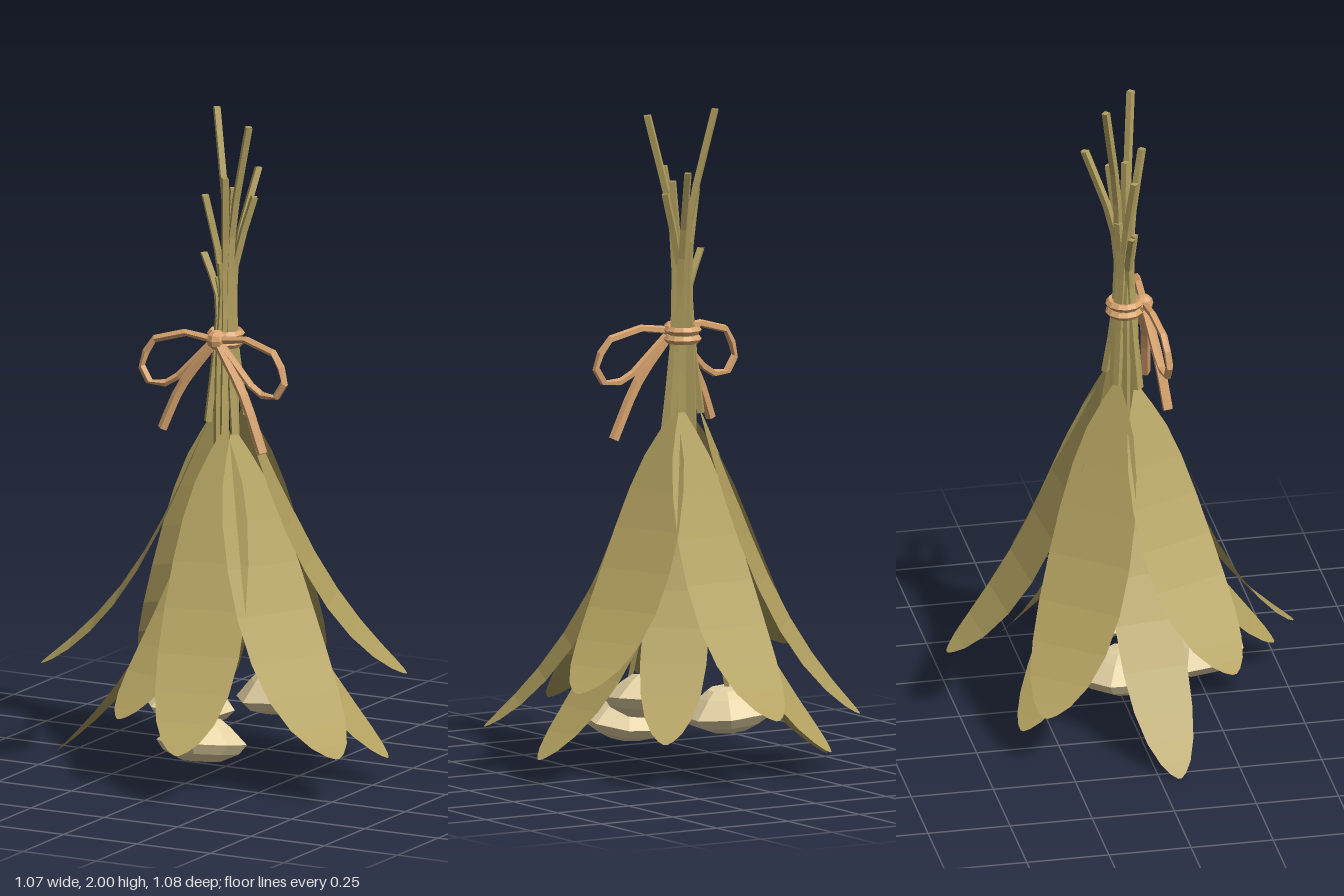
import * as THREE from 'three';

const mat = (name, color, extra = {}) => {
  const m = new THREE.MeshStandardMaterial({ color, flatShading: true, ...extra });
  m.name = name;
  return m;
};
const V = (x, y, z) => new THREE.Vector3(x, y, z);

// Half-width of a leaf along its length: narrow base, broad middle, blunt tip
const OUTLINE = [[0, 0.1], [0.06, 0.32], [0.14, 0.58], [0.25, 0.79], [0.38, 0.93], [0.52, 1],
  [0.66, 1], [0.78, 0.91], [0.88, 0.72], [0.95, 0.46], [0.985, 0.23], [1, 0.06]];

// Spine controls as [outward, drop] fractions from base to tip
const UPPER_BEND = [[0.25, 0.38], [0.45, 0.775]];
const LOWER_BEND = [[0.19, 0.43], [0.52, 0.76]];

// Flat leaf drooping from base to tip along a curved spine
function leafGeometry(base, tip, halfWidth, bend) {
  const [c1, c2] = bend.map(([out, drop]) => V(
    THREE.MathUtils.lerp(base.x, tip.x, out),
    THREE.MathUtils.lerp(base.y, tip.y, drop),
    THREE.MathUtils.lerp(base.z, tip.z, out)));
  const spine = new THREE.CubicBezierCurve3(base, c1, c2, tip);
  const side = V(tip.z - base.z, 0, base.x - tip.x).normalize();
  const pos = [], idx = [];
  OUTLINE.forEach(([t, w], i) => {
    const p = spine.getPointAt(t);
    for (const s of [-1, 1]) {
      const q = p.clone().addScaledVector(side, s * w * halfWidth);
      pos.push(q.x, q.y, q.z);
    }
    if (i) {
      const a = 2 * i - 2;
      idx.push(a, a + 2, a + 1, a + 1, a + 2, a + 3);
    }
  });
  const g = new THREE.BufferGeometry();
  g.setAttribute('position', new THREE.Float32BufferAttribute(pos, 3));
  g.setIndex(idx);
  g.computeVertexNormals();
  return g;
}

export function createModel() {
  const group = new THREE.Group();
  const leafMat = mat('dried leaf', 0xb3a160, { side: THREE.DoubleSide });
  const twineMat = mat('twine', 0xdba670);
  const flowerMat = mat('dried flower', 0xecd9aa);

  const add = (name, geometry, material) => {
    const m = new THREE.Mesh(geometry, material);
    m.name = name;
    group.add(m);
    return m;
  };
  const tube = (name, pts, r, material, segs = 8, sides = 4) =>
    add(name, new THREE.TubeGeometry(new THREE.CatmullRomCurve3(pts), segs, r, sides), material);

  // Each sprig: leaf base, leaf tip, half width, cut end of its stem
  const upper = [
    [[0.035, 1.09, -0.05], [0, 0.22, -0.54], 0.12, [-0.07, 2, -0.07]],
    [[-0.045, 1.08, -0.03], [-0.42, 0.18, -0.325], 0.134, [-0.06, 1.75, 0.02]],
    [[0.05, 1.08, -0.03], [0.5, 0.3, -0.21], 0.126, [0.05, 1.82, -0.11]],
    [[0.045, 1.03, 0.03], [0.53, 0.14, 0.27], 0.138, [0.1, 1.98, 0.04]],
    [[0.02, 1.03, 0.05], [0.13, 0.16, 0.54], 0.126, [0.03, 1.82, 0.06]],
    [[-0.045, 1.06, 0.03], [-0.5, 0.31, 0.235], 0.124, [-0.07, 1.57, 0.01]],
  ];
  const lower = [
    [[-0.03, 0.86, 0], [-0.54, 0, 0.06], 0.1, [-0.02, 1.5, 0.01]],
    [[-0.02, 0.86, -0.03], [-0.29, 0.08, -0.37], 0.1, [-0.01, 1.6, -0.02]],
    [[0.02, 0.86, -0.03], [0.26, 0.14, -0.32], 0.1, [0.08, 1.75, -0.03]],
    [[0.035, 0.86, 0], [0.53, 0.08, -0.04], 0.098, [0.03, 1.78, 0.01]],
    [[-0.01, 0.86, 0.035], [-0.13, 0.22, 0.43], 0.1, [0, 1.55, 0.03]],
  ];
  const sprig = ([baseXYZ, tipXYZ, halfWidth, end], bend) => {
    const base = V(...baseXYZ), tip = V(...tipXYZ);
    add('leaf', leafGeometry(base, tip, halfWidth, bend), leafMat);
    // Stem runs from the leaf through the tie and fans out above it
    const radial = V(base.x, 0, base.z).normalize();
    const tie = radial.clone().multiplyScalar(0.027).setY(1.31);
    const fork = V(end[0] * 0.2, 0, end[2] * 0.2).addScaledVector(radial, 0.01)
      .setY(1.31 + 0.5 * (end[1] - 1.31));
    tube('stem', [base, tie, fork, V(...end)], 0.013, leafMat, 8);
    const cap = add('stemEnd', new THREE.CircleGeometry(0.013, 4), leafMat);
    cap.position.set(...end);
    cap.rotation.x = -Math.PI / 2;
  };
  upper.forEach(s => sprig(s, UPPER_BEND));
  lower.forEach(s => sprig(s, LOWER_BEND));

  // Hanging faceted flower heads on thin stalks
  const profile = [[0, -0.05], [0.06, -0.055], [0.115, -0.03], [0.138, 0], [0.085, 0.05], [0.055, 0.072], [0, 0.076]]
    .map(([r, y]) => new THREE.Vector2(r, y));
  for (const [x, y, z] of [[-0.14, 0.17, -0.03], [0.05, 0.13, 0.24], [0.155, 0.235, -0.06]]) {
    const flower = add('flowerHead', new THREE.LatheGeometry(profile, 8), flowerMat);
    flower.position.set(x, y, z);
    flower.rotation.set(-z * 0.8, 0.3, x * 0.8);
    tube('flowerStalk', [V(x, y + 0.06, z), V(x * 0.6, 0.55, z * 0.6), V(x * 0.15, 1, z * 0.15),
      V(x * 0.1, 1.35, z * 0.1)], 0.009, leafMat);
  }

  // Twine wound twice around the stems
  for (const y of [1.303, 1.33]) {
    const wrap = add('twineWrap', new THREE.TorusGeometry(0.044, 0.013, 5, 12), twineMat);
    wrap.rotation.x = Math.PI / 2;
    wrap.position.y = y;
  }
  const knot = add('knot', new THREE.SphereGeometry(0.031, 8, 6), twineMat);
  knot.position.set(0, 1.32, 0.058);

  // Bow loops and loose tails, mirrored with a slightly longer right side
  for (const [s, k, tailX, tailY] of [[-1, 0.99, 0.16, 1.04], [1, 1.04, 0.18, 1.0]]) {
    // Loops are bent from short straight pieces
    const pts = [[0, 1.32, 0.06], [0.1, 1.334, 0.065], [0.205, 1.305, 0.08], [0.245, 1.23, 0.09],
      [0.212, 1.175, 0.09], [0.145, 1.175, 0.08], [0.015, 1.31, 0.06]]
      .map(([x, y, z]) => V(s * k * x, y, z));
    const loop = new THREE.CatmullRomCurve3(pts, false, 'catmullrom', 0);
    add('bowLoop', new THREE.TubeGeometry(loop, 12, 0.012, 5), twineMat);
    const end = V(s * tailX, tailY, 0.1);
    const mid = V(s * 0.105, 1.17, 0.085);
    tube('bowTail', [V(0, 1.32, 0.06), mid, end], 0.016, twineMat, 6, 5);
    const cap = add('tailEnd', new THREE.CircleGeometry(0.016, 5), twineMat);
    cap.position.copy(end);
    cap.lookAt(end.clone().multiplyScalar(2).sub(mid));
  }
  return group;
}
